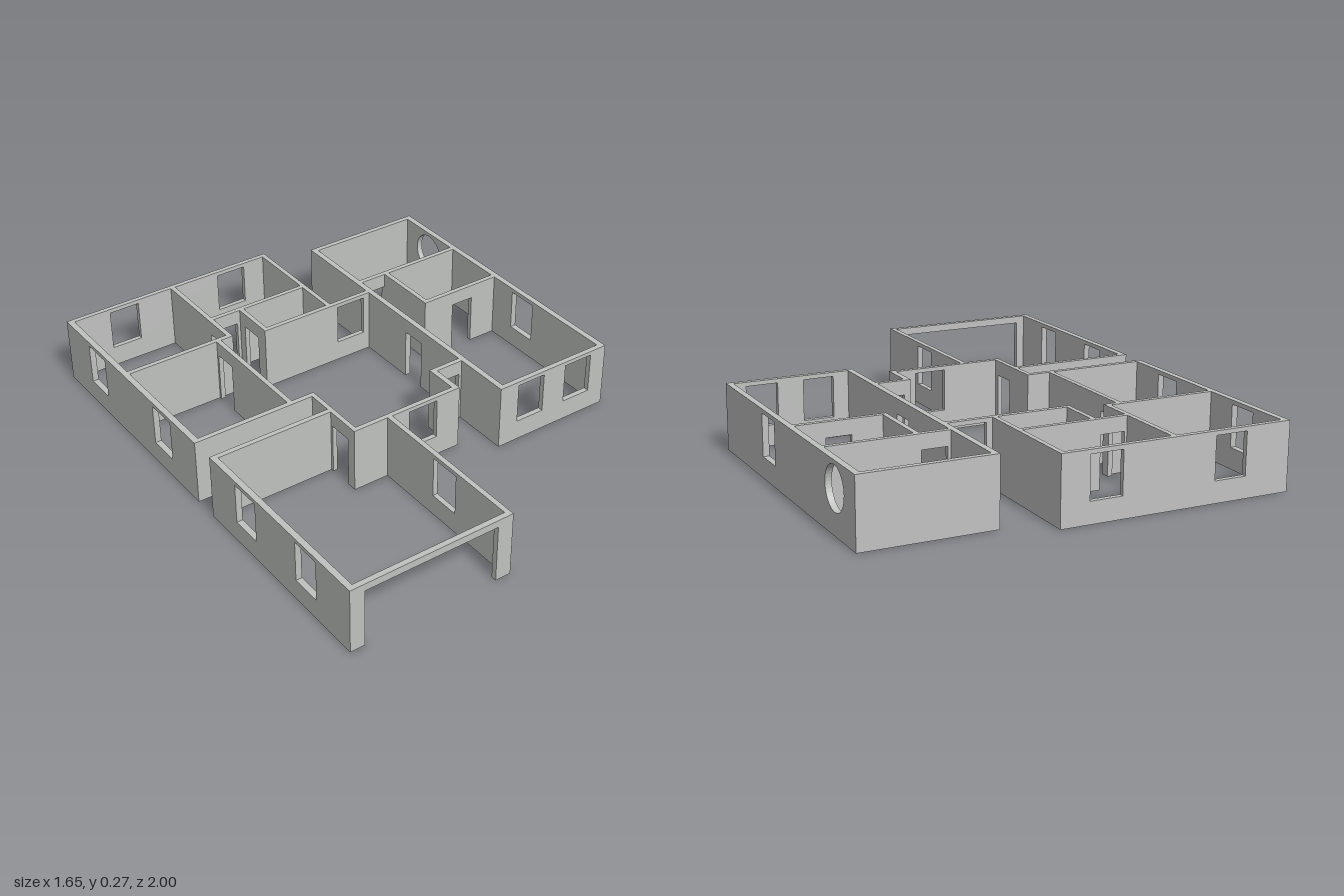
import * as THREE from 'three';

const H = 0.27;              // wall height
const SILL = 0.085, HEAD = 0.253, DOOR = 0.21;

// Openings, given along the wall's own axis
const win = (a, b) => ({ a, b, y0: SILL, y1: HEAD });
const door = (a, b, top = DOOR) => ({ a, b, y0: 0, y1: top });
const round = (c, y, r) => ({ c, y, r });

// Upright wall panel in the XY plane: doors notch the outline, windows are holes
function wallGeometry(from, to, thickness, openings) {
  const shape = new THREE.Shape();
  shape.moveTo(from, 0);
  openings.filter(o => o.y0 === 0).sort((p, q) => p.a - q.a).forEach(o => {
    shape.lineTo(o.a, 0);
    shape.lineTo(o.a, o.y1);
    shape.lineTo(o.b, o.y1);
    shape.lineTo(o.b, 0);
  });
  shape.lineTo(to, 0);
  shape.lineTo(to, H);
  shape.lineTo(from, H);
  shape.closePath();
  openings.filter(o => o.y0 !== 0).forEach(o => {
    const hole = new THREE.Path();
    if (o.r) {
      hole.absarc(o.c, o.y, o.r, 0, Math.PI * 2, true);
    } else {
      hole.moveTo(o.a, o.y0);
      hole.lineTo(o.a, o.y1);
      hole.lineTo(o.b, o.y1);
      hole.lineTo(o.b, o.y0);
      hole.closePath();
    }
    shape.holes.push(hole);
  });
  return new THREE.ExtrudeGeometry(shape, { depth: thickness, bevelEnabled: false, curveSegments: 20 });
}

export function createModel() {
  const house = new THREE.Group();
  house.name = 'houseWalls';
  const plaster = new THREE.MeshStandardMaterial({ color: 0xc0c2c0 });
  plaster.name = 'greyPlaster';

  function add(parent, name, geometry) {
    const mesh = new THREE.Mesh(geometry, plaster);
    mesh.name = name;
    parent.add(mesh);
  }
  // Wall running along x, between z0 and z1
  const alongX = (parent, name, x0, x1, z0, z1, ...openings) =>
    add(parent, name, wallGeometry(x0, x1, z1 - z0, openings).translate(0, 0, z0));
  // Wall running along z, between x0 and x1 (panel is drawn over -z, then turned)
  const alongZ = (parent, name, x0, x1, z0, z1, ...openings) => {
    const flipped = openings.map(o => o.r ? { ...o, c: -o.c } : { ...o, a: -o.b, b: -o.a });
    add(parent, name, wallGeometry(-z1, -z0, x1 - x0, flipped).rotateY(Math.PI / 2).translate(x0, 0, 0));
  };
  const wing = name => {
    const g = new THREE.Group();
    g.name = name;
    house.add(g);
    return g;
  };

  // Bedrooms and bath
  const bed = wing('bedroomWing');
  alongZ(bed, 'bedroomOuterWall', -0.825, -0.8, -1, 0.014, win(-0.81, -0.68), win(-0.3, -0.17));
  alongX(bed, 'bedroomBackWall', -0.8, 0.115, -1, -0.98, win(-0.64, -0.51), win(-0.13, 0));
  alongZ(bed, 'bedroomDivider', -0.355, -0.335, -0.98, -0.52, door(-0.66, -0.56));
  alongX(bed, 'bedroomCrossWall', -0.8, -0.355, -0.54, -0.52);
  alongZ(bed, 'backRoomSideWall', 0.096, 0.115, -0.98, -0.495);
  alongX(bed, 'backRoomFrontWall', -0.335, 0.096, -0.687, -0.668, door(-0.325, -0.225));
  alongZ(bed, 'bathSideWall', -0.212, -0.193, -0.668, -0.475, door(-0.63, -0.53));
  alongZ(bed, 'hallWall', -0.41, -0.39, -0.52, -0.007, door(-0.51, -0.41));
  alongX(bed, 'bedroomFrontWall', -0.8, -0.293, -0.007, 0.014);

  // Central living room
  const living = wing('livingRoom');
  alongX(living, 'livingBackWall', -0.193, 0.297, -0.495, -0.475, win(0.14, 0.27));
  alongZ(living, 'livingSideWall', -0.312, -0.293, 0.014, 0.272, door(0.15, 0.25));
  alongX(living, 'livingFrontWall', -0.312, 0.177, 0.272, 0.292, win(-0.06, 0.07));
  alongZ(living, 'entrySideWall', 0.154, 0.177, 0.131, 0.272);
  alongX(living, 'entryWall', 0.177, 0.297, 0.131, 0.151, door(0.183, 0.285));

  // Garage
  const garage = wing('garage');
  alongX(garage, 'garageBackWall', -0.8, -0.312, 0.117, 0.138);
  alongZ(garage, 'garageOuterWall', -0.825, -0.8, 0.117, 1, win(0.29, 0.42), win(0.675, 0.8));
  alongZ(garage, 'garageInnerWall', -0.161, -0.14, 0.292, 1, win(0.575, 0.705));
  alongX(garage, 'garageFrontWall', -0.8, -0.161, 0.977, 1, door(-0.765, -0.205, 0.24));

  // Side suite
  const suite = wing('suiteWing');
  alongZ(suite, 'suiteInnerWall', 0.297, 0.321, -0.908, 0.395, door(-0.215, -0.11));
  alongZ(suite, 'suiteOuterWall', 0.8, 0.825, -0.908, 0.395, win(-0.15, -0.02), round(-0.727, 0.17, 0.084));
  alongX(suite, 'suiteBackWall', 0.321, 0.8, -0.908, -0.886);
  alongX(suite, 'suiteFrontWall', 0.321, 0.8, 0.373, 0.395, win(0.385, 0.512), win(0.62, 0.75));
  alongX(suite, 'suiteCrossWall', 0.321, 0.8, -0.576, -0.556, door(0.332, 0.436));
  alongZ(suite, 'closetSideWall', 0.437, 0.457, -0.556, -0.271);
  alongX(suite, 'closetFrontWall', 0.457, 0.8, -0.291, -0.271, door(0.58, 0.68));

  return house;
}
